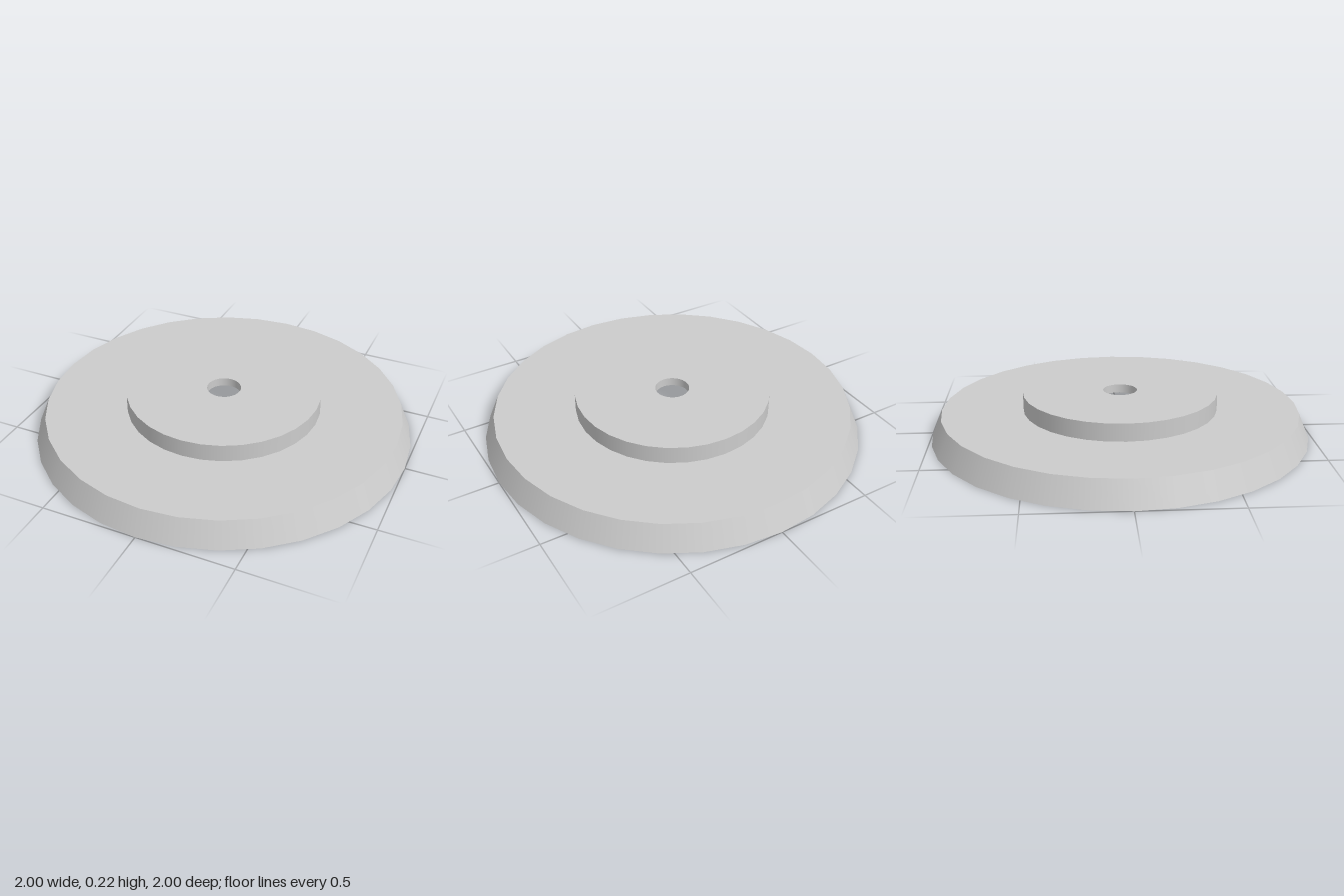
import * as THREE from 'three';
import { mergeGeometries } from 'three/addons/utils/BufferGeometryUtils.js';

const SIDES = 32;

// Revolve a profile band by band: smooth around the axis, sharp at each profile corner
function revolve(profile) {
  const bands = [];
  for (let i = 0; i < profile.length - 1; i++) {
    const pair = [profile[i], profile[i + 1]].map(([r, y]) => new THREE.Vector2(r, y));
    const band = new THREE.LatheGeometry(pair, SIDES);
    band.normalizeNormals();
    bands.push(band);
  }
  return mergeGeometries(bands);
}

export function createModel() {
  const group = new THREE.Group();
  group.name = 'steppedDisc';
  const grey = new THREE.MeshStandardMaterial({ color: 0xcccccc });
  grey.name = 'lightGrey';

  const add = (name, profile) => {
    const mesh = new THREE.Mesh(revolve(profile), grey);
    mesh.name = name;
    group.add(mesh);
  };

  // Wide flange: hollow underside, bottom lip, tapered rim and flat top
  add('flange', [[0.42, 0.093], [0.94, 0.093], [0.94, 0], [1, 0], [0.945, 0.13], [0.515, 0.13]]);

  // Raised hub: outer wall, top, centre hole and the recess beneath it
  add('hub', [[0.515, 0.13], [0.515, 0.223], [0.09, 0.223], [0.09, 0.178], [0.42, 0.178], [0.42, 0.093]]);

  return group;
}
